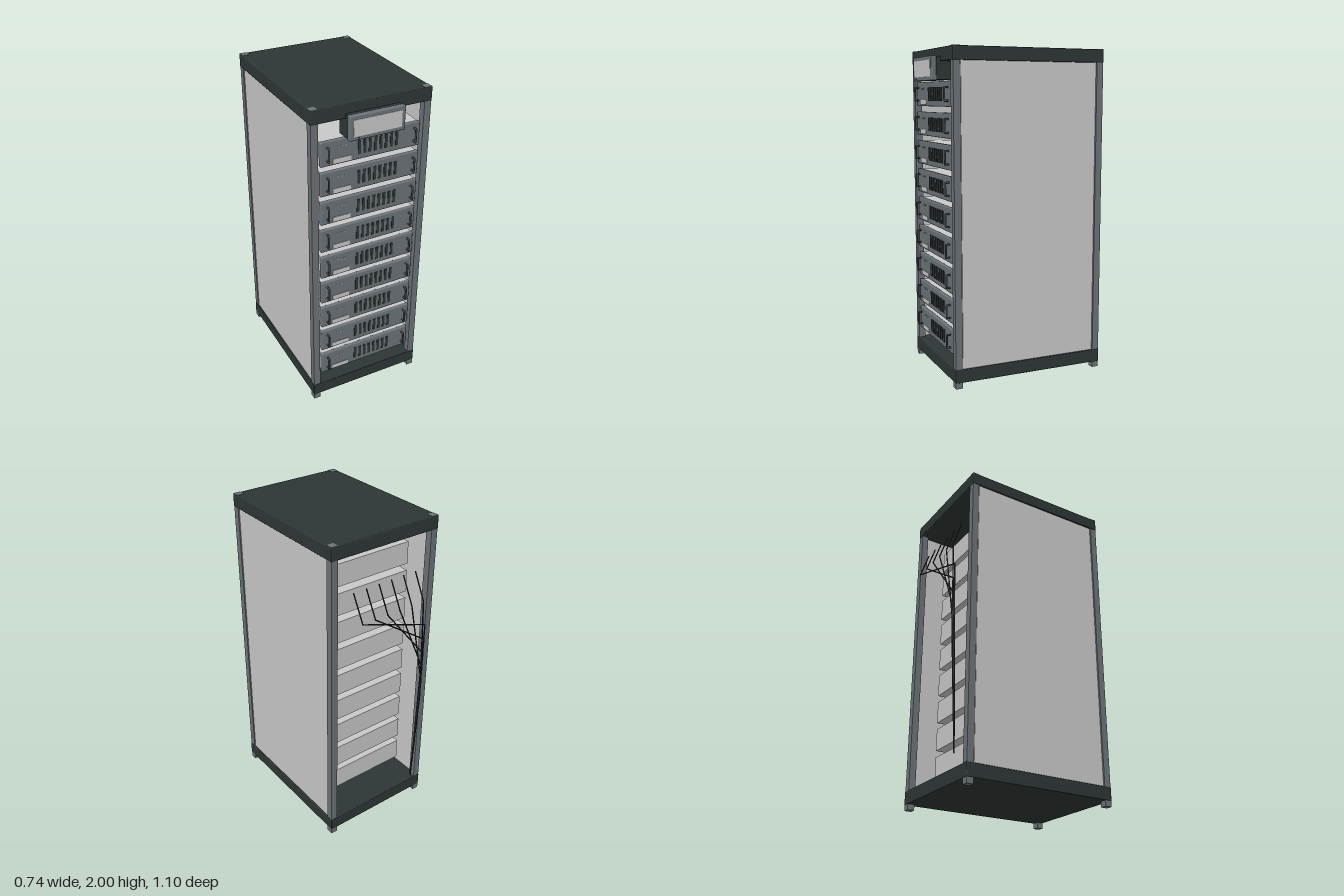
import * as THREE from 'three';
import { RoundedBoxGeometry } from 'three/addons/geometries/RoundedBoxGeometry.js';

const material = (name, color) => {
  const m = new THREE.MeshStandardMaterial({ color });
  m.name = name;
  return m;
};

export function createModel() {
  const charcoal = material('charcoal', 0x2e3635);
  const steel = material('steel grey', 0x6b7277);
  const light = material('light grey', 0xc8c8c8);
  const handleGrey = material('handle grey', 0x434a4d);
  const black = material('cable black', 0x1f2524);

  const rack = new THREE.Group();
  rack.name = 'serverRack';

  const add = (parent, name, geometry, mat, x = 0, y = 0, z = 0) => {
    const mesh = new THREE.Mesh(geometry, mat);
    mesh.name = name;
    mesh.position.set(x, y, z);
    parent.add(mesh);
    return mesh;
  };
  const box = (w, h, d) => new THREE.BoxGeometry(w, h, d);

  // Straight round bar between two points
  const bar = (parent, name, a, b, radius, mat) => {
    const dir = b.clone().sub(a);
    const mesh = add(parent, name, new THREE.CylinderGeometry(radius, radius, dir.length(), 8), mat);
    mesh.position.copy(a).add(b).multiplyScalar(0.5);
    mesh.quaternion.setFromUnitVectors(new THREE.Vector3(0, 1, 0), dir.normalize());
  };

  // Round bar following a bent path, with a ball at each inner corner
  const bentBar = (parent, name, points, radius, mat) => {
    const group = new THREE.Group();
    group.name = name;
    parent.add(group);
    for (let i = 1; i < points.length; i++) {
      bar(group, name + 'Section', points[i - 1], points[i], radius, mat);
      if (i < points.length - 1) {
        add(group, name + 'Bend', new THREE.SphereGeometry(radius, 8, 6), mat, ...points[i].toArray());
      }
    }
  };
  const v = (x, y, z) => new THREE.Vector3(x, y, z);

  // Frame: top and base slabs, corner posts that run through them, side panels
  add(rack, 'topSlab', new RoundedBoxGeometry(0.744, 0.08, 0.976, 2, 0.005), charcoal, 0, 1.958, 0);
  add(rack, 'baseSlab', new RoundedBoxGeometry(0.744, 0.082, 0.976, 2, 0.005), charcoal, 0, 0.076, 0);
  for (const sx of [-1, 1]) {
    for (const sz of [-1, 1]) {
      add(rack, 'cornerPost', box(0.043, 2, 0.043), steel, sx * 0.348, 1, sz * 0.464);
    }
    add(rack, 'sidePanel', box(0.012, 1.81, 0.876), light, sx * 0.358, 1.018, 0);
  }

  // Servers, stacked from the bottom up
  for (let row = 0; row < 9; row++) {
    const server = new THREE.Group();
    server.name = 'server' + (row + 1);
    server.position.y = 0.268 + row * 0.1828;
    rack.add(server);

    add(server, 'serverBody', box(0.61, 0.14, 0.785), light, 0, 0, 0.0675);
    add(server, 'serverFace', new RoundedBoxGeometry(0.622, 0.148, 0.024, 2, 0.007), steel, 0, 0, 0.468);
    add(server, 'serverLabel', box(0.112, 0.028, 0.004), light, -0.181, -0.05, 0.481);

    // Ventilation slots
    for (let i = 0; i < 8; i++) {
      add(server, 'ventSlot', box(0.017, 0.082, 0.004), charcoal, -0.075 + i * 0.0336, 0, 0.481);
    }
    // Status lights
    for (let i = 0; i < 3; i++) {
      const led = add(server, 'statusLight', new THREE.CylinderGeometry(0.004, 0.004, 0.005, 8), light,
        -0.205 + i * 0.022, 0.034, 0.481);
      led.rotation.x = Math.PI / 2;
    }
    // Pull handles
    for (const sx of [-1, 1]) {
      const x = sx * 0.271;
      bentBar(server, 'handle',
        [v(x, 0.039, 0.475), v(x, 0.039, 0.504), v(x, -0.039, 0.504), v(x, -0.039, 0.475)],
        0.006, handleGrey);
    }
  }

  // Display at the top of the front
  const display = new THREE.Group();
  display.name = 'display';
  display.position.y = 1.879;
  rack.add(display);
  add(display, 'displayHousing', box(0.334, 0.134, 0.09), charcoal, 0, 0, 0.467);
  add(display, 'displayFrame', new RoundedBoxGeometry(0.34, 0.142, 0.033, 2, 0.006), steel, 0, 0, 0.5285);
  add(display, 'displayScreen', box(0.296, 0.096, 0.004), light, 0, 0, 0.5445);
  const button = add(display, 'displayButton', new THREE.CylinderGeometry(0.005, 0.005, 0.008, 10), charcoal,
    -0.115, -0.059, 0.5445);
  button.rotation.x = Math.PI / 2;

  // Cables that fan in to one run down the back
  for (let i = 0; i < 6; i++) {
    const x = -0.225 + i * 0.089;
    bentBar(rack, 'cable', [
      v(x, 1.695, -0.482),
      v(x - 0.019, 1.52, -0.545),
      v(-0.27, 0.86 + i * 0.1, -0.545),
      v(-0.27, 0.18, -0.51),
    ], 0.004, black);
  }

  return rack;
}
